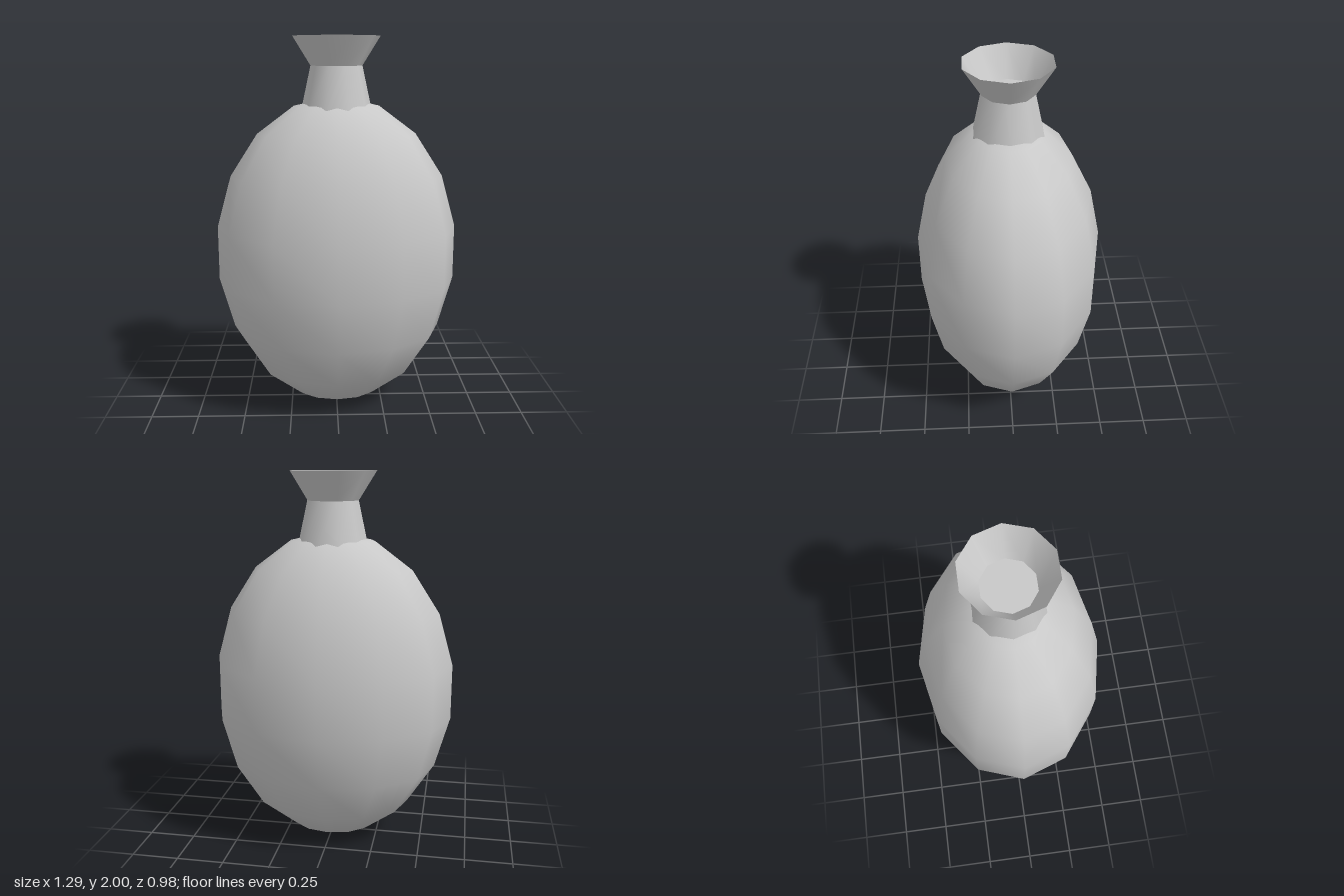
import * as THREE from 'three';

export function createModel() {
  const group = new THREE.Group();
  const clay = new THREE.MeshStandardMaterial({ color: 0xc8c8c8, side: THREE.DoubleSide });
  clay.name = 'light grey clay';

  const add = (name, geometry, y) => {
    const mesh = new THREE.Mesh(geometry, clay);
    mesh.name = name;
    mesh.position.y = y;
    group.add(mesh);
    return mesh;
  };

  // Flattened egg-shaped body
  const body = new THREE.SphereGeometry(1, 12, 9);
  body.scale(0.653, 0.845, 0.498);
  add('body', body, 0.85);

  // Ten-sided tapering sections, corners on the x axis
  const taper = (top, bottom, height, open) =>
    new THREE.CylinderGeometry(top, bottom, height, 10, 1, open, Math.PI / 2);

  // Neck, sunk slightly into the body
  add('neck', taper(0.135, 0.19, 0.25, false), 1.725);

  // Flared open mouth
  add('flaredMouth', taper(0.228, 0.135, 0.15, true), 1.925);

  return group;
}
